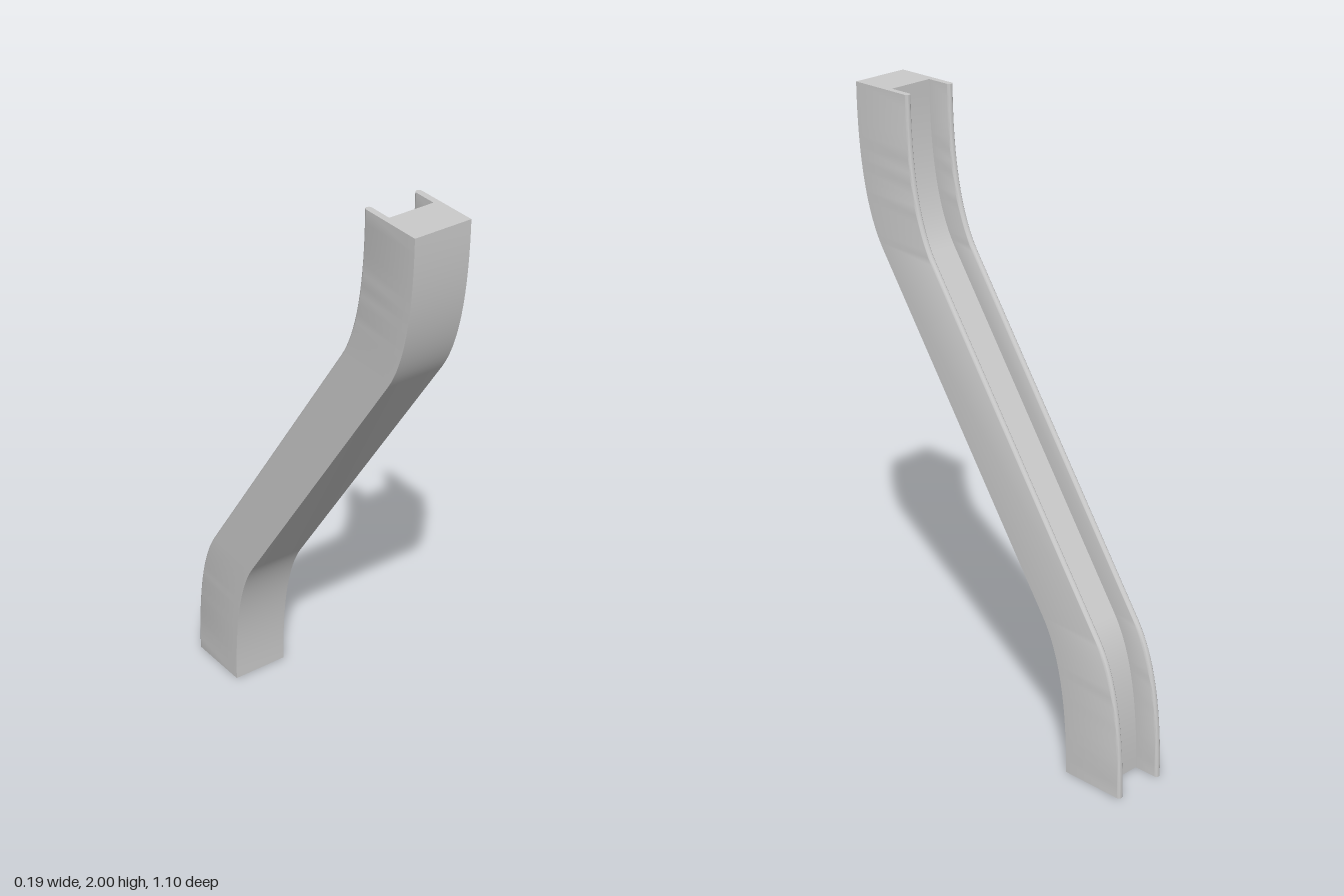
import * as THREE from 'three';
import { toCreasedNormals } from 'three/addons/utils/BufferGeometryUtils.js';

const HALF_W = 0.095, HALF_D = 0.11, WALL = 0.02, FLOOR = 0.025;

// Horizontal cross-section: thick floor at the front, two round-tipped walls at the back
function channelSection() {
  const r = WALL / 2, tip = HALF_D - r, inner = HALF_W - WALL;
  const s = new THREE.Shape();
  s.moveTo(-HALF_W, -HALF_D);
  s.lineTo(HALF_W, -HALF_D);
  s.lineTo(HALF_W, tip);
  s.absarc(HALF_W - r, tip, r, 0, Math.PI, false);
  s.lineTo(inner, FLOOR);
  s.lineTo(-inner, FLOOR);
  s.lineTo(-inner, tip);
  s.absarc(-HALF_W + r, tip, r, 0, Math.PI, false);
  s.closePath();
  return s;
}

// S-shaped centre line as (z, y) points: bend, straight slope, bend
function centreLine() {
  const bend = new THREE.QuadraticBezierCurve(
    new THREE.Vector2(0.44, 2), new THREE.Vector2(0.44, 1.65), new THREE.Vector2(0.338, 1.5));
  const upper = bend.getPoints(16);
  const lower = upper.map(p => new THREE.Vector2(-p.x, 2 - p.y));
  return [...lower, ...upper.reverse()];
}

export function createModel() {
  const path = centreLine();
  const steps = path.length - 1;
  const geo = new THREE.ExtrudeGeometry(channelSection(), {
    depth: steps, steps, bevelEnabled: false, curveSegments: 10,
  });

  // Slide each level section along the centre line
  const pos = geo.attributes.position;
  for (let i = 0; i < pos.count; i++) {
    const p = path[Math.round(pos.getZ(i))];
    pos.setXYZ(i, pos.getX(i), p.y, p.x - pos.getY(i));
  }

  const channel = new THREE.Mesh(
    toCreasedNormals(geo, Math.PI / 6),
    new THREE.MeshStandardMaterial({ color: 0xcccccc }));
  channel.name = 'slideChannel';

  const group = new THREE.Group();
  group.name = 'curvedSlide';
  group.add(channel);
  return group;
}
